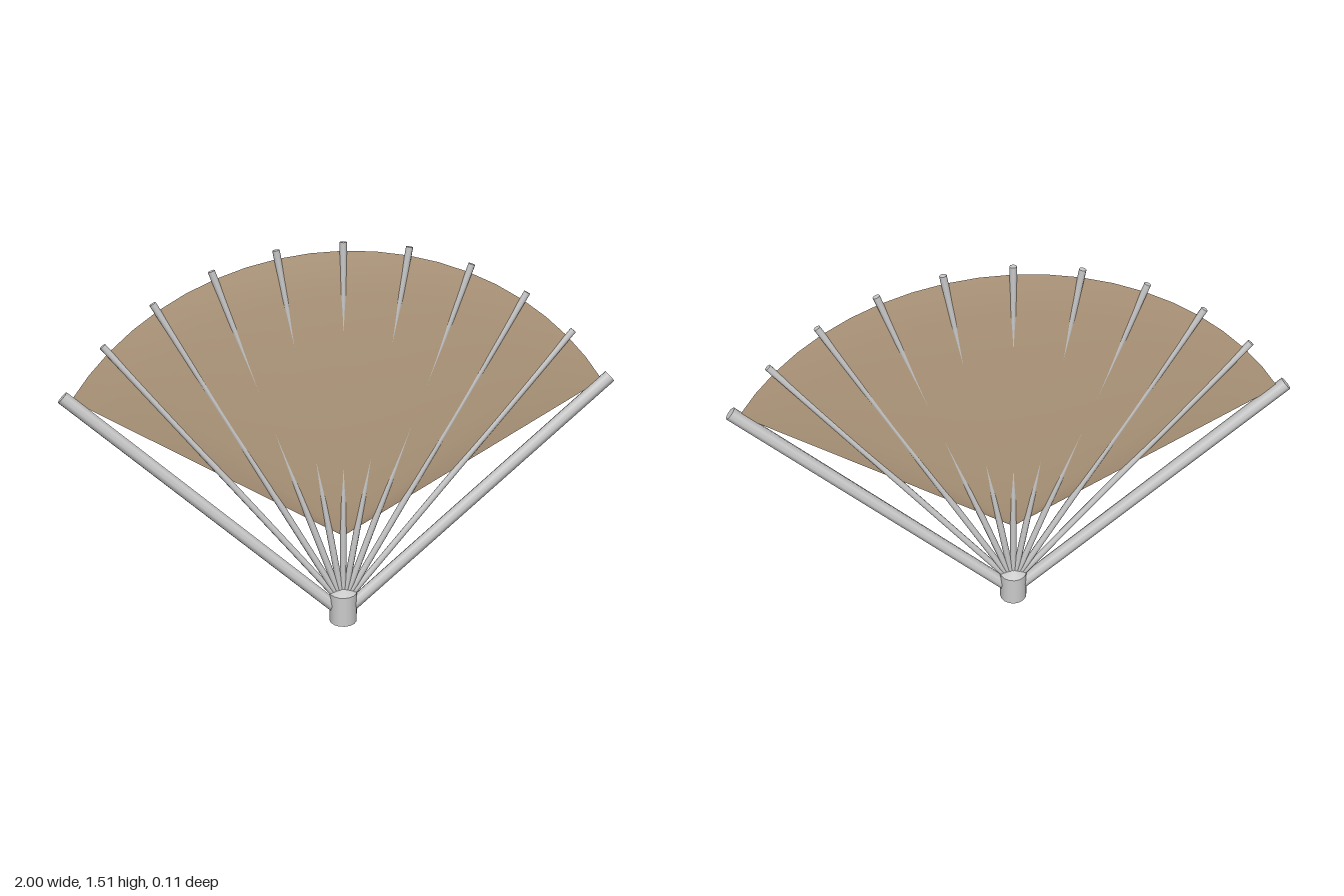
import * as THREE from 'three';

const grey = new THREE.MeshStandardMaterial({ color: 0xcccccc });
const tan = new THREE.MeshStandardMaterial({ color: 0xb89f82, side: THREE.DoubleSide });

const SPREAD = THREE.MathUtils.degToRad(111);
const CENTRE_Y = 0.325;

// Point on an arc; angle is measured from straight up towards +x
const arcPoint = (radius, angle) =>
  new THREE.Vector3(Math.sin(angle) * radius, CENTRE_Y + Math.cos(angle) * radius, 0);

// Round stick between two points
function stick(name, from, to, radius, sides) {
  const dir = to.clone().sub(from);
  const mesh = new THREE.Mesh(new THREE.CylinderGeometry(radius, radius, dir.length(), sides), grey);
  mesh.position.copy(from).add(to).multiplyScalar(0.5);
  mesh.quaternion.setFromUnitVectors(new THREE.Vector3(0, 1, 0), dir.normalize());
  mesh.name = name;
  return mesh;
}

// One face of the leaf: a sector from a low apex to the arc, swelling slightly in the middle
function leafGeometry() {
  const geometry = new THREE.PlaneGeometry(1, 1, 20, 16);
  const pos = geometry.attributes.position;
  const apex = new THREE.Vector3(0, 0.395, 0);
  for (let i = 0; i < pos.count; i++) {
    const u = pos.getX(i);
    const s = pos.getY(i) + 0.5;
    const p = apex.clone().lerp(arcPoint(1.155, u * SPREAD), s);
    const swell = Math.pow(Math.max(0, 4 * s * (1 - s)), 0.6) * Math.sqrt(Math.max(0, 1 - 4 * u * u));
    pos.setXYZ(i, p.x, p.y, 0.0145 * swell);
  }
  geometry.computeVertexNormals();
  return geometry;
}

export function createModel() {
  const fan = new THREE.Group();
  fan.name = 'foldingFan';

  // Pivot with shallow pointed ends
  const profile = [[0, 0], [0.053, 0.03], [0.053, 0.03], [0.053, 0.155], [0.053, 0.155], [0, 0.175]]
    .map(([x, y]) => new THREE.Vector2(x, y));
  // separate lathes keep the rims sharp
  const pivot = new THREE.Group();
  pivot.name = 'pivot';
  for (let i = 0; i < profile.length; i += 2) {
    pivot.add(new THREE.Mesh(new THREE.LatheGeometry(profile.slice(i, i + 2), 16), grey));
  }
  fan.add(pivot);

  // Nine thin ribs
  for (let k = -4; k <= 4; k++) {
    const tip = arcPoint(1.185, (k / 10) * SPREAD);
    fan.add(stick('rib', new THREE.Vector3(0, 0.1, 0), tip, 0.0125, 8));
  }

  // Two thick outer guards
  for (const side of [-1, 1]) {
    fan.add(stick('guard', new THREE.Vector3(side * 0.03, 0.09, 0),
      new THREE.Vector3(side * 0.981, 0.992, 0), 0.025, 8));
  }

  // Leaf, mirrored front and back
  const geometry = leafGeometry();
  for (const side of [1, -1]) {
    const leaf = new THREE.Mesh(geometry, tan);
    leaf.scale.z = side;
    leaf.name = side > 0 ? 'leafFront' : 'leafBack';
    fan.add(leaf);
  }
  return fan;
}
